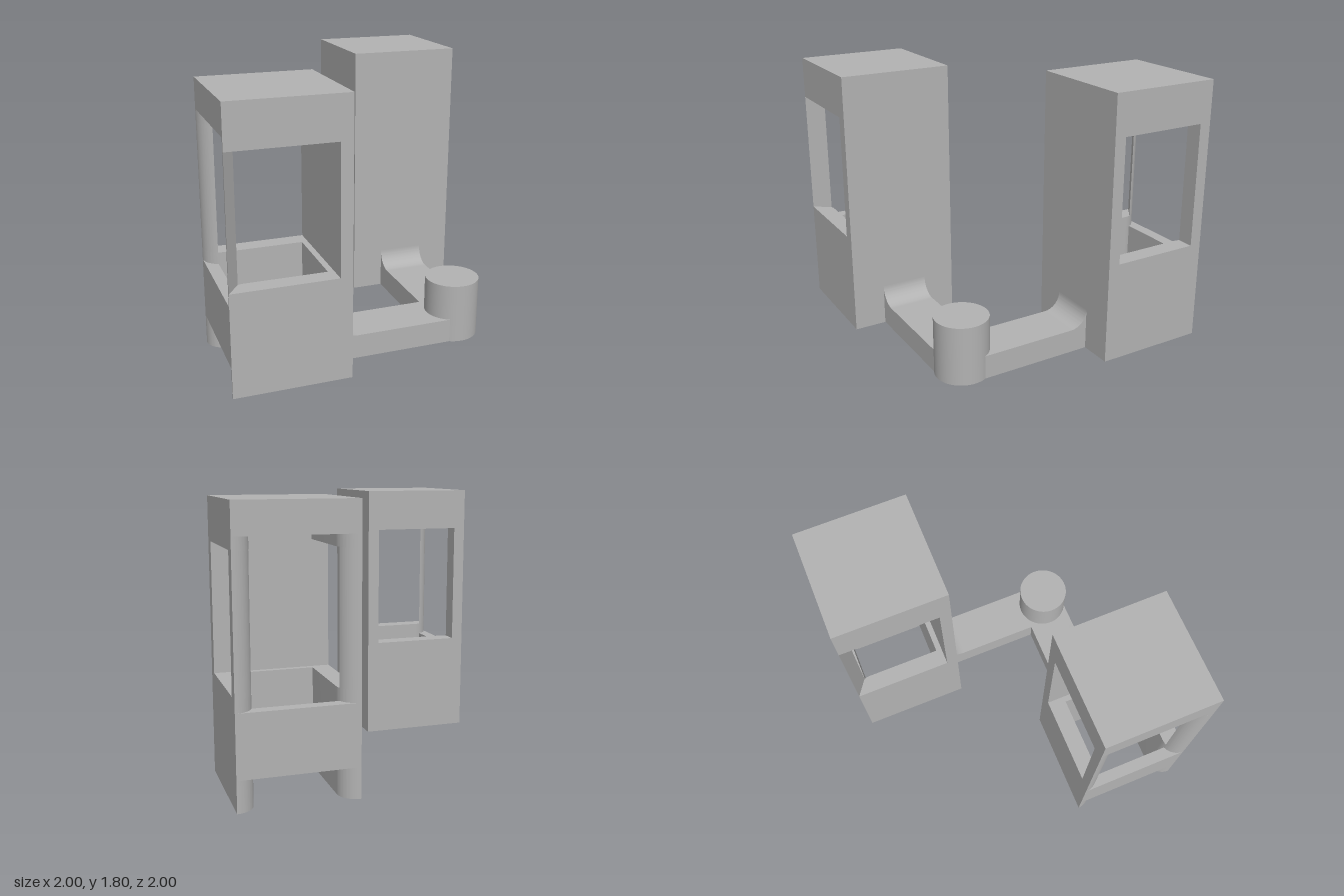
import * as THREE from 'three';
import { toCreasedNormals } from 'three/addons/utils/BufferGeometryUtils.js';

const H = 0.38;      // half width of a tower
const WALL = 0.12;   // wall thickness, also the rounding of the wall ends
const IN = H - WALL;

export function createModel() {
  const model = new THREE.Group();
  model.name = 'twinTowers';
  const grey = new THREE.MeshStandardMaterial({ color: 0xb2b2b2 });
  grey.name = 'plain grey';

  const add = (parent, name, geometry) => {
    const mesh = new THREE.Mesh(geometry, grey);
    mesh.name = name;
    parent.add(mesh);
    return mesh;
  };
  const extrude = (shape, depth) =>
    new THREE.ExtrudeGeometry(shape, { depth, bevelEnabled: false, curveSegments: 12 });
  // Plan shape (x, -z) raised from y0 to y1
  const raise = (shape, y0, y1) => toCreasedNormals(
    extrude(shape, y1 - y0).rotateX(-Math.PI / 2).translate(0, y0, 0), 0.5);
  const box = (x0, x1, y0, y1, z0, z1) =>
    new THREE.BoxGeometry(x1 - x0, y1 - y0, z1 - z0)
      .translate((x0 + x1) / 2, (y0 + y1) / 2, (z0 + z1) / 2);

  // Three-sided wall plan, open at the back, with rounded inner ends
  const wallPlan = new THREE.Shape();
  wallPlan.moveTo(-H, -H);
  wallPlan.lineTo(H, -H);
  wallPlan.lineTo(H, H);
  wallPlan.absarc(H, IN, WALL, Math.PI / 2, Math.PI, false);
  wallPlan.lineTo(IN, -IN);
  wallPlan.lineTo(-IN, -IN);
  wallPlan.lineTo(-IN, IN);
  wallPlan.absarc(-H, IN, WALL, 0, Math.PI / 2, false);
  wallPlan.closePath();

  // Rounded posts left standing beside the side windows
  const postEdge = 0.30;
  const cut = Math.asin((postEdge - IN) / WALL);
  const postPlan = (side) => {
    const s = new THREE.Shape();
    s.moveTo(side * H, postEdge);
    if (side > 0) {
      s.lineTo(H, H);
      s.absarc(H, IN, WALL, Math.PI / 2, Math.PI - cut, false);
    } else {
      s.absarc(-H, IN, WALL, cut, Math.PI / 2, false);
    }
    s.closePath();
    return s;
  };

  // Hollow tower, open towards -z
  const makeTower = (name) => {
    const tower = new THREE.Group();
    tower.name = name;
    add(tower, 'lowerWalls', raise(wallPlan, 0, 0.68));
    add(tower, 'solidWall', box(-H, H, 0.68, 1.52, 0.30, H));
    add(tower, 'postA', raise(postPlan(1), 0.68, 1.52));
    add(tower, 'postB', raise(postPlan(-1), 0.68, 1.52));
    add(tower, 'windowLintels', raise(wallPlan, 1.52, 1.6));
    add(tower, 'roof', box(-H, H, 1.6, 1.8, -H, H));
    add(tower, 'backPanel', box(-H, H, 0.2, 0.6, -H, -H + 0.08));
    model.add(tower);
    return tower;
  };

  // Low arm running along +x, flaring up where it meets the tower
  const armProfile = new THREE.Shape();
  armProfile.moveTo(0, 0);
  armProfile.lineTo(0.86, 0);
  armProfile.lineTo(0.86, 0.16);
  armProfile.lineTo(0.12, 0.16);
  armProfile.absarc(0.12, 0.28, 0.12, Math.PI * 1.5, Math.PI, true);
  armProfile.closePath();
  const armGeometry = toCreasedNormals(extrude(armProfile, 0.32).translate(0, 0, -0.16), 0.5);

  makeTower('backTower').position.set(0.62, 0, -0.62);
  const frontTower = makeTower('frontTower');
  frontTower.position.set(-0.62, 0, 0.62);
  frontTower.rotation.y = Math.PI / 2;

  add(model, 'frontArm', armGeometry).position.set(-0.24, 0, 0.62);
  const backArm = add(model, 'backArm', armGeometry);
  backArm.position.set(0.62, 0, -0.24);
  backArm.rotation.y = -Math.PI / 2;

  // Round pillar at the corner
  add(model, 'cornerPillar', new THREE.CylinderGeometry(0.18, 0.18, 0.4, 64))
    .position.set(0.62, 0.2, 0.62);

  return model;
}
